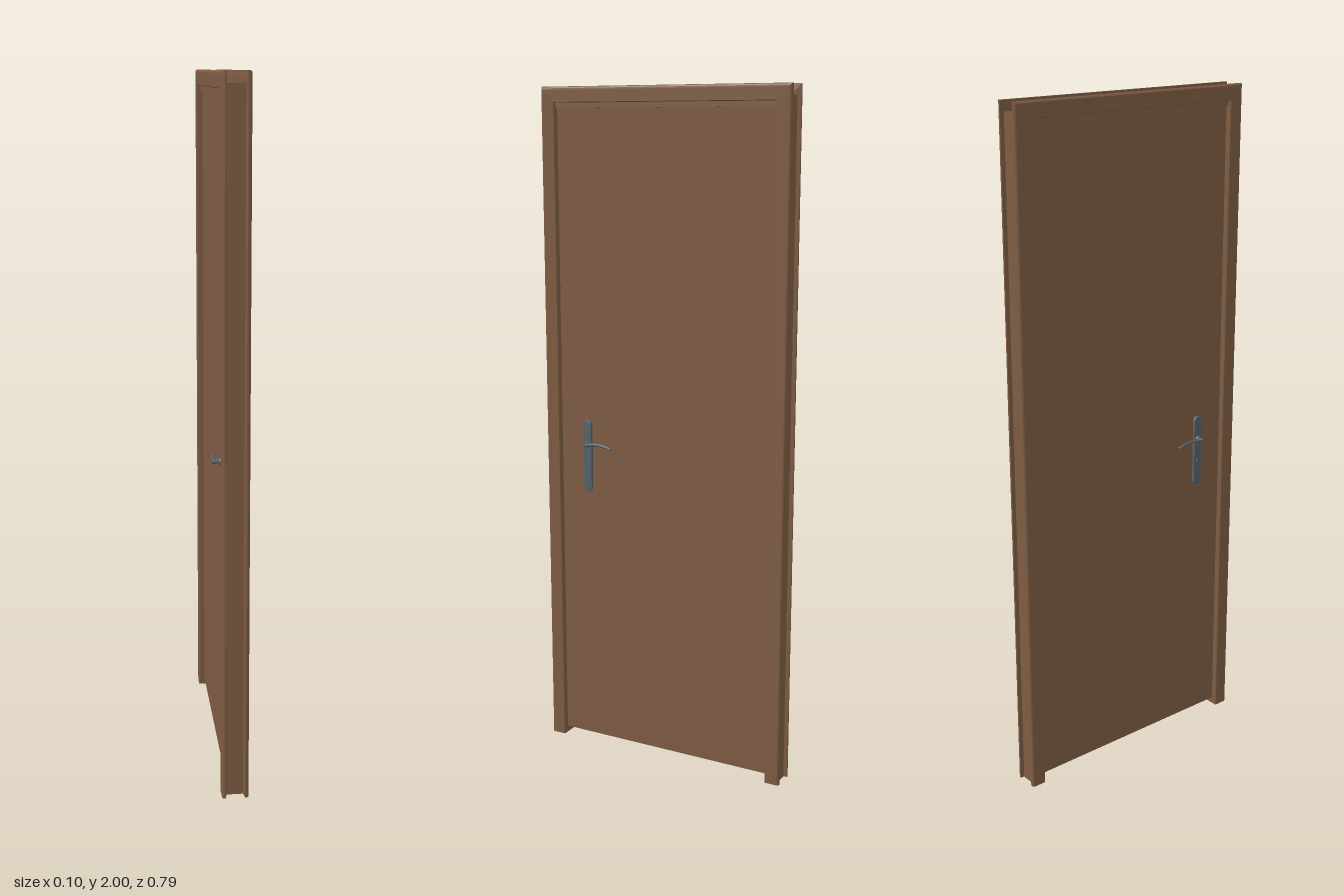
import * as THREE from 'three';

const wood = new THREE.MeshStandardMaterial({ color: 0x7e5c43 });
wood.name = 'brown wood';
const metal = new THREE.MeshStandardMaterial({ color: 0x58626a });
metal.name = 'grey metal';

const HALF = 0.393, TOP = 2;

function add(parent, name, geometry, material, x = 0, y = 0, z = 0) {
  const mesh = new THREE.Mesh(geometry, material);
  mesh.name = name;
  mesh.position.set(x, y, z);
  parent.add(mesh);
  return mesh;
}

// Architrave: a rounded profile swept up one side, across and down, with mitred corners
function casingGeometry() {
  // [distance in from the outer edge, x]
  const profile = [[0, 0.027], [0, 0.032], [0.002, 0.0355], [0.005, 0.0375], [0.009, 0.038],
    [0.043, 0.038], [0.045, 0.036], [0.045, 0.024], [0.02, 0.024]];
  const n = profile.length;
  const position = [], index = [];
  for (const [side, atTop] of [[1, 0], [1, 1], [-1, 1], [-1, 0]])
    for (const [t, x] of profile) position.push(x, atTop ? TOP - t : 0, side * (HALF - t));
  for (let i = 0; i < 3; i++)
    for (let j = 0; j < n; j++) {
      const a = i * n + j, b = i * n + (j + 1) % n;
      index.push(a, b, a + n, b, b + n, a + n);
    }
  // feet
  for (let j = 1; j < n - 1; j++) index.push(0, j + 1, j, 3 * n, 3 * n + j, 3 * n + j + 1);
  const g = new THREE.BufferGeometry();
  g.setAttribute('position', new THREE.Float32BufferAttribute(position, 3));
  g.setIndex(index);
  const flat = g.toNonIndexed();
  flat.computeVertexNormals();
  return flat;
}

// Rounded backplate lying in the y-z plane
function plateGeometry(width, height, depth) {
  const r = width / 2, h = height / 2 - r;
  const s = new THREE.Shape();
  s.absarc(0, h, r, 0, Math.PI);
  s.absarc(0, -h, r, Math.PI, Math.PI * 2);
  s.closePath();
  const g = new THREE.ExtrudeGeometry(s, {
    depth: depth - 0.002, bevelEnabled: true, bevelSize: 0.002, bevelOffset: -0.002,
    bevelThickness: 0.002, bevelSegments: 2, curveSegments: 10,
  });
  return g.rotateY(Math.PI / 2);
}

// Lever handle for one face of the door; side is +1 or -1 in x
function handle(side) {
  const g = new THREE.Group();
  g.name = side > 0 ? 'leftHandle' : 'rightHandle';
  const z = 0.256, y = 0.957, face = 0.02 * side;
  const plate = add(g, 'backplate', plateGeometry(0.028, 0.22, 0.008), metal, face, 0.92, z);
  if (side < 0) plate.rotation.y = Math.PI;

  const rod = (name, r0, r1, from, to, py) => add(g, name,
    new THREE.CylinderGeometry(r1, r0, to - from, 16).rotateZ(-side * Math.PI / 2),
    metal, side * (from + to) / 2, py, z);
  rod('collar', 0.011, 0.009, 0.026, 0.034, y);
  rod('spindle', 0.006, 0.006, 0.03, 0.052, y);
  rod('lockCylinder', 0.006, 0.006, 0.026, 0.031, 0.885);

  const x = side * 0.048;
  const path = new THREE.CatmullRomCurve3([
    [0.258, 0.956], [0.235, 0.961], [0.21, 0.963], [0.185, 0.96], [0.165, 0.954],
  ].map(([pz, py]) => new THREE.Vector3(x, py, pz)));
  add(g, 'lever', new THREE.TubeGeometry(path, 20, 0.0042, 8), metal);
  for (const t of [0, 1]) {
    const p = path.getPoint(t);
    add(g, 'leverEnd', new THREE.SphereGeometry(0.0042, 8, 6), metal, p.x, p.y, p.z);
  }
  return g;
}

export function createModel() {
  const door = new THREE.Group();
  door.name = 'door';

  // Frame lining
  const frame = new THREE.Group();
  frame.name = 'frame';
  door.add(frame);
  const depth = 0.056;
  add(frame, 'frontJamb', new THREE.BoxGeometry(depth, 1.97, 0.024), wood, 0, 0.985, 0.36);
  add(frame, 'backJamb', new THREE.BoxGeometry(depth, 1.97, 0.034), wood, 0, 0.985, -0.365);
  add(frame, 'headJamb', new THREE.BoxGeometry(depth, 0.03, 0.754), wood, 0, 1.955, -0.005);

  // Casings on both faces
  const casing = casingGeometry();
  add(frame, 'leftCasing', casing, wood);
  add(frame, 'rightCasing', casing, wood).rotation.y = Math.PI;

  // Door leaf
  add(door, 'leaf', new THREE.BoxGeometry(0.04, 1.92, 0.696), wood, 0, 0.98, 0);

  for (const side of [1, -1]) door.add(handle(side));
  return door;
}
